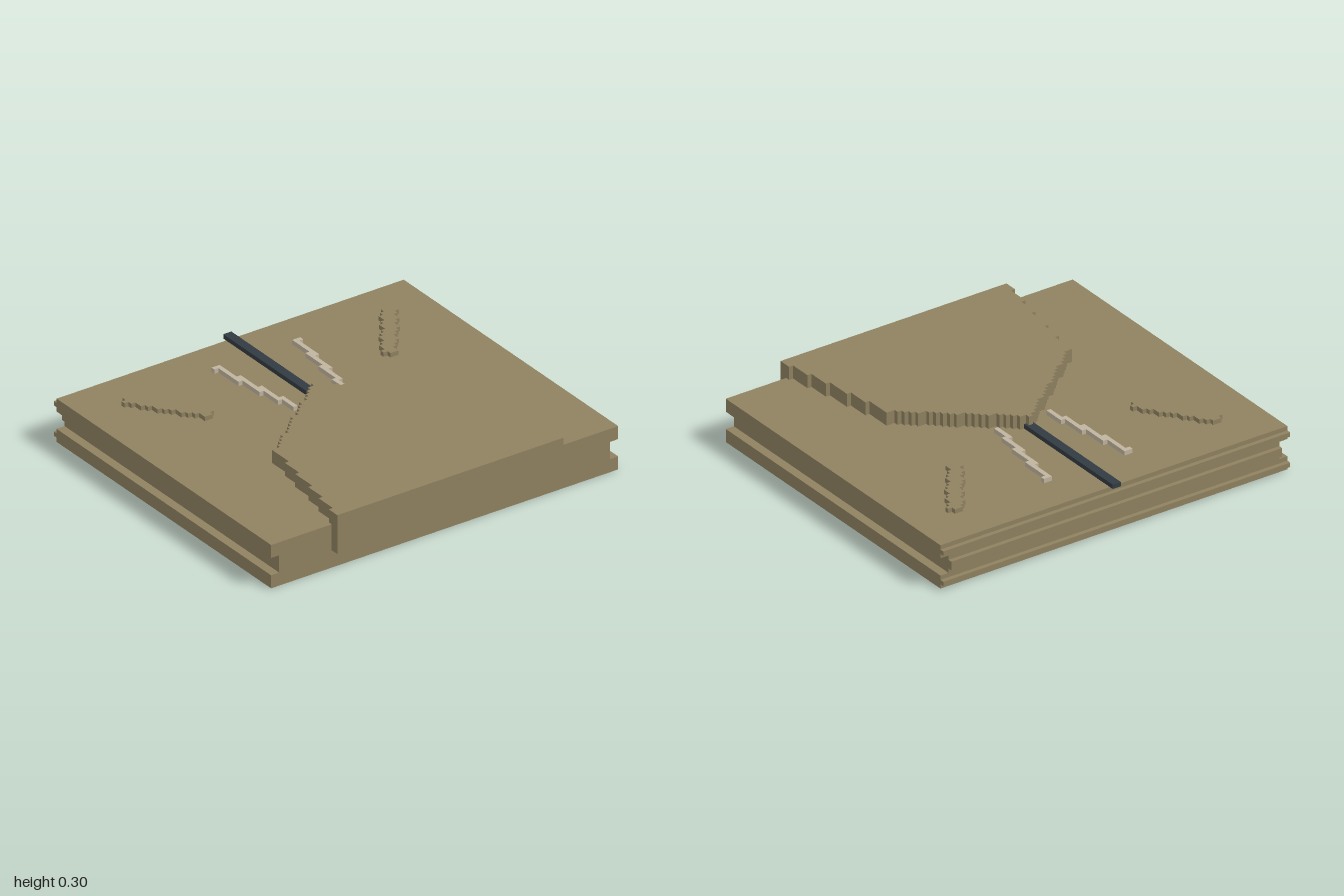
import * as THREE from 'three';

const U = 1 / 43; // one block of the stepped grid

const tan = new THREE.MeshStandardMaterial({ color: 0x8f8260 });
tan.name = 'tan';
const pale = new THREE.MeshStandardMaterial({ color: 0xc0b49e });
pale.name = 'pale grey';
const dark = new THREE.MeshStandardMaterial({ color: 0x333b42 });
dark.name = 'dark slate';

function addMesh(group, name, geometry, material) {
  const mesh = new THREE.Mesh(geometry.scale(U, U, U), material);
  mesh.name = name;
  group.add(mesh);
}

// Box given by its limits in blocks
function box(x0, x1, y0, y1, z0, z1) {
  return new THREE.BoxGeometry(x1 - x0, y1 - y0, z1 - z0)
    .translate((x0 + x1) / 2, (y0 + y1) / 2, (z0 + z1) / 2);
}

// Flat slab with a stepped outline, from touching rows [z0, z1, x0, x1]
function steppedSlab(rows, y0, y1) {
  const side = (a, b, x) => [[x, -a], [x, -b]];
  const right = rows.flatMap(([a, b, , x1]) => side(a, b, x1));
  const left = rows.flatMap(([a, b, x0]) => side(a, b, x0)).reverse();
  const points = [...right, ...left]
    .filter((p, i, all) => i === 0 || p[0] !== all[i - 1][0] || p[1] !== all[i - 1][1])
    .map(([x, y]) => new THREE.Vector2(x, y));
  return new THREE.ExtrudeGeometry(new THREE.Shape(points), { depth: y1 - y0, bevelEnabled: false })
    .rotateX(-Math.PI / 2).translate(0, y0, 0);
}

const mirrorRows = (rows) => rows.map(([a, b, x0, x1]) => [a, b, -x1, -x0]);

export function createModel() {
  const model = new THREE.Group();
  model.name = 'steppedPanel';

  // Base slab with a groove along each side
  const half = [[43, 0], [43, 3], [41, 3], [41, 7], [43, 7], [43, 10]];
  const outline = [...half, ...half.map(([x, y]) => [-x, y]).reverse()];
  const profile = new THREE.Shape(outline.map(([x, y]) => new THREE.Vector2(x, y)));
  addMesh(model, 'baseSlab',
    new THREE.ExtrudeGeometry(profile, { depth: 75, bevelEnabled: false }).translate(0, 0, -38), tan);

  // Ribs along the back edge
  for (const [y0, y1, hw] of [[1, 2, 43], [4, 6, 41], [8, 9, 43]]) {
    addMesh(model, 'backRib', box(-hw, hw, y0, y1, -39, -38), tan);
  }

  // Raised plate: stepped point at the back, widening toward the front
  const plateRows = [[-9, -8, -0.5, 0.5]];
  for (let z = -8; z < 9; z++) {
    const hw = Math.round((z + 9.5) * 1.22);
    plateRows.push([z, z + 1, -hw, hw]);
  }
  const breaks = [9, 15, 20, 26, 31, 36];
  breaks.slice(0, -1).forEach((z, i) => plateRows.push([z, breaks[i + 1], -23 - i, 23 + i]));
  plateRows.push([36, 37, -28, 28]);
  addMesh(model, 'raisedPlate', steppedSlab(plateRows, 10, 13), tan);
  addMesh(model, 'frontLip', box(-28, 28, 4, 13, 37, 39), tan);

  // Dark bar down the middle
  addMesh(model, 'centreBar', box(-1, 1, 10, 11, -39, -8), dark);

  // Pale strips and slanted bars, one on each side
  const stripRows = [
    [-29, -28, 9, 11], [-28, -23, 9, 10], [-23, -21, 8, 10], [-21, -17, 8, 9],
    [-17, -15, 7, 9], [-15, -11, 7, 8], [-11, -10, 6, 8], [-10, -6, 6, 7],
  ];
  const barRows = [[-29, -28, 31, 33]];
  for (let i = 13; i >= 0; i--) {
    barRows.push([-15 - i, -14 - i, Math.round(21 + i * 9 / 13), Math.round(24.4 + i * 9.5 / 13)]);
  }
  barRows[1][0] = -28;
  barRows.push([-14, -13, 22, 24]);
  for (const [side, place] of [['left', (r) => r], ['right', mirrorRows]]) {
    addMesh(model, side + 'PaleStrip', steppedSlab(place(stripRows), 10, 11), pale);
    addMesh(model, side + 'SlantedBar', steppedSlab(place(barRows), 10, 11), tan);
  }

  return model;
}
